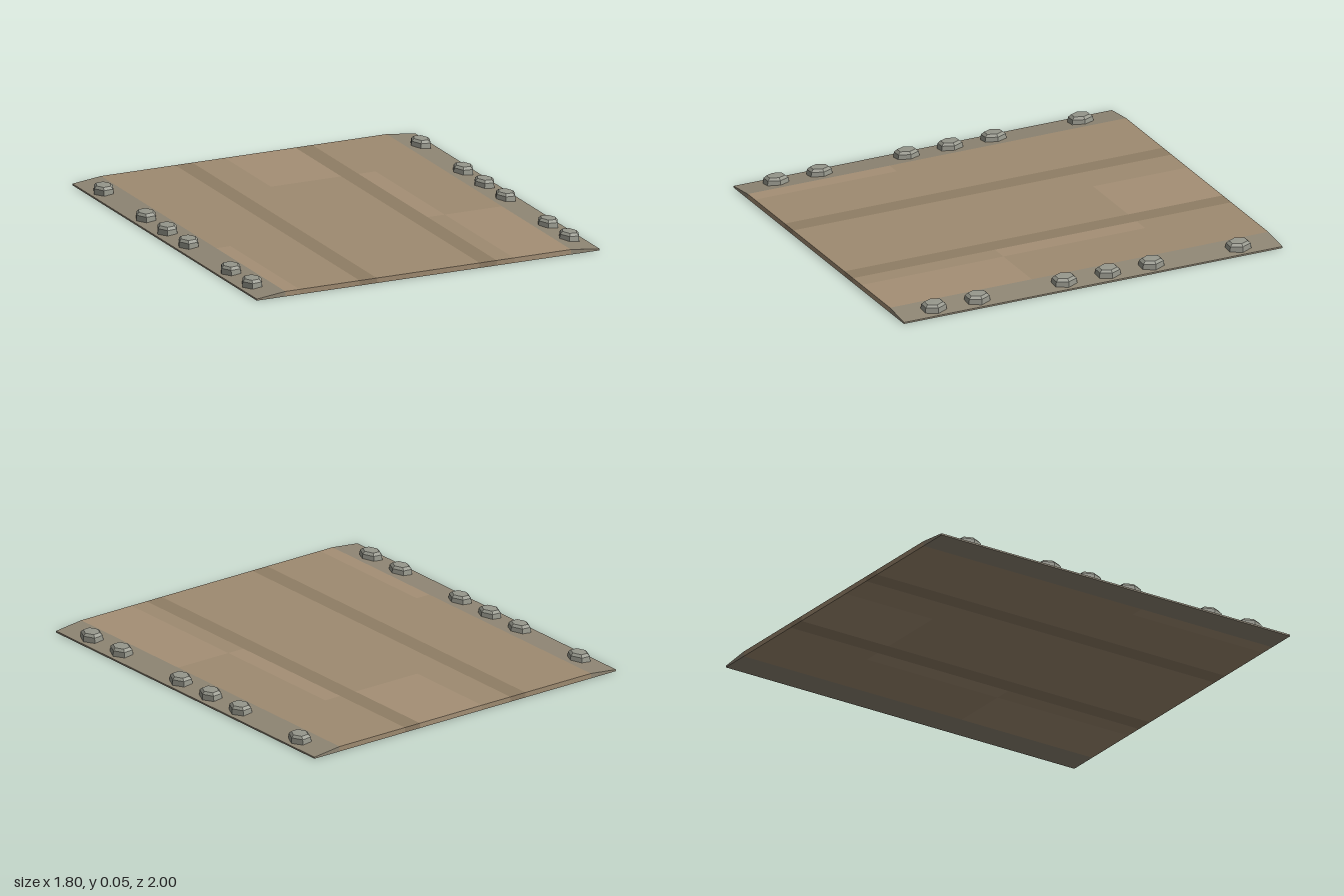
import * as THREE from 'three';

const TOP = 0.025; // height of the flat deck
const EDGE = 0.008; // height of the thin outer edges

const paint = (color) => new THREE.MeshStandardMaterial({ color, flatShading: true });
const main = paint(0x9e8a70);
const light = paint(0xa48f75);
const dark = paint(0x8f7d65);
const railPaint = paint(0x8f8674);
const steel = paint(0x96978c);

// Deck strips: x from, x to, then [z from, z to, material] sections
const STRIPS = [
  [-0.75, -0.675, [[-1, 0.25, main], [0.25, 1, light]]],
  [-0.675, -0.36, [[-1, 1, main]]],
  [-0.36, -0.27, [[-1, 1, dark]]],
  [-0.27, -0.1, [[-1, 1, main]]],
  [-0.1, 0.27, [[-1, -0.5, light], [-0.5, 1, main]]],
  [0.27, 0.36, [[-1, 1, dark]]],
  [0.36, 0.45, [[-1, -0.5, main], [-0.5, 0.25, light], [0.25, 1, main]]],
  [0.45, 0.75, [[-1, 0.25, main], [0.25, 1, light]]],
];

const BOLT_Z = [-0.8, -0.34, -0.11, 0.12, 0.58, 0.81];

// Sloping border strip, extruded along z
function makeRail(side) {
  const shape = new THREE.Shape();
  shape.moveTo(side * 0.75, 0);
  shape.lineTo(side * 0.9, 0);
  shape.lineTo(side * 0.9, EDGE);
  shape.lineTo(side * 0.75, TOP);
  shape.closePath();
  const geometry = new THREE.ExtrudeGeometry(shape, { depth: 2, bevelEnabled: false });
  geometry.translate(0, 0, -1);
  const rail = new THREE.Mesh(geometry, railPaint);
  rail.name = side > 0 ? 'leftRail' : 'rightRail';
  return rail;
}

// Six-sided bolt head with a chamfered crown, corners pointing along x
function makeBoltGeometry() {
  const profile = [[0.066, 0], [0.062, 0.028], [0.047, 0.04], [0, 0.041]]
    .map(([r, y]) => new THREE.Vector2(r, y));
  const geometry = new THREE.LatheGeometry(profile, 6, Math.PI / 2);
  geometry.scale(0.78, 1, 1);
  return geometry;
}

export function createModel() {
  const model = new THREE.Group();
  model.name = 'boltedPlate';

  // Flat deck
  const deck = new THREE.Group();
  deck.name = 'deck';
  for (const [x0, x1, sections] of STRIPS) {
    for (const [z0, z1, material] of sections) {
      const panel = new THREE.Mesh(new THREE.BoxGeometry(x1 - x0, TOP, z1 - z0), material);
      panel.position.set((x0 + x1) / 2, TOP / 2, (z0 + z1) / 2);
      panel.name = 'deckPanel';
      deck.add(panel);
    }
  }
  model.add(deck);

  // Rails and bolts on both sides
  const boltGeometry = makeBoltGeometry();
  for (const side of [1, -1]) {
    model.add(makeRail(side));
    for (const z of BOLT_Z) {
      const bolt = new THREE.Mesh(boltGeometry, steel);
      bolt.position.set(side * 0.832, 0.012, z);
      bolt.rotation.z = -side * 0.05;
      bolt.name = 'bolt';
      model.add(bolt);
    }
  }
  return model;
}
